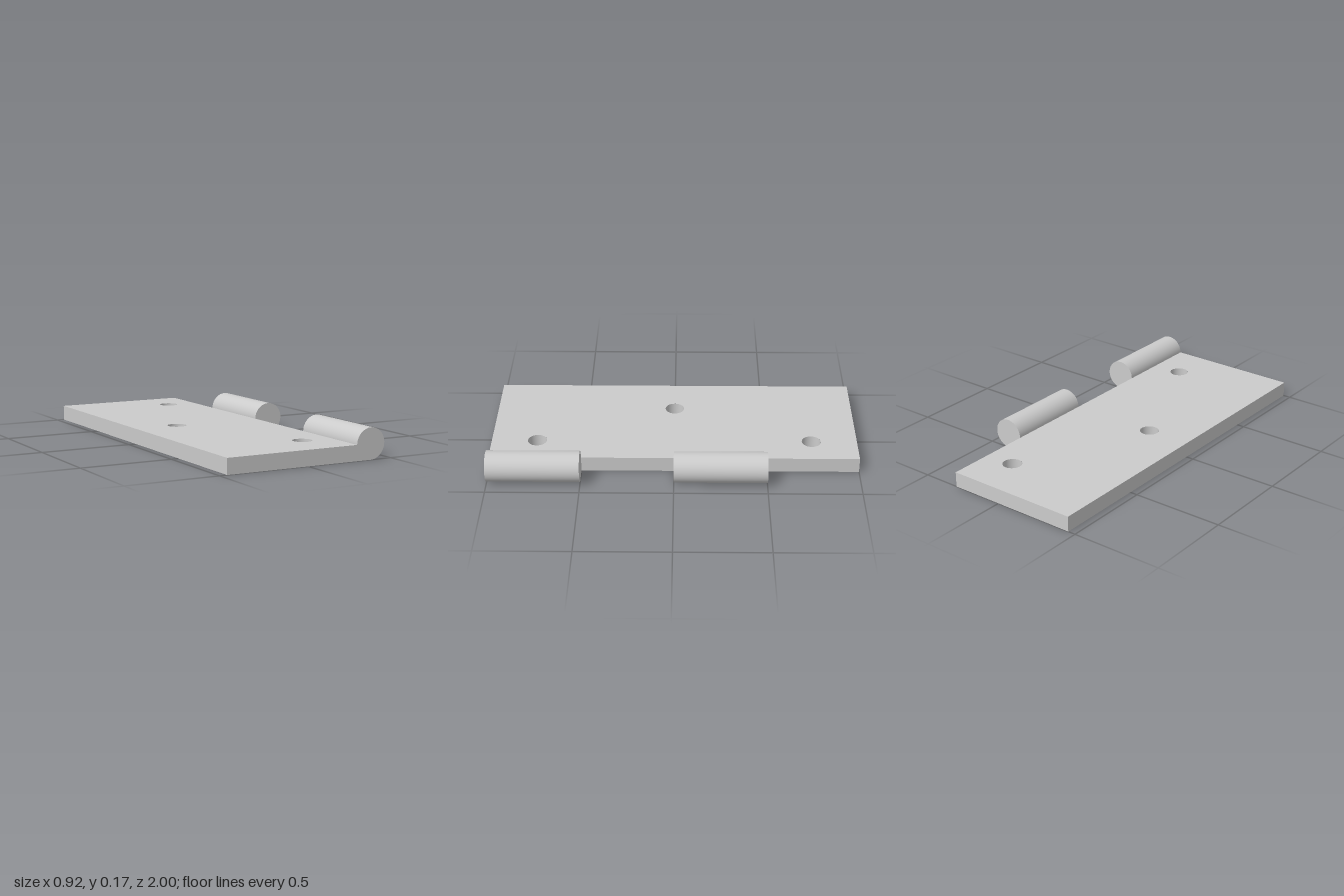
import * as THREE from 'three';

// Hinge leaf: thin shell, open underneath, with two knuckles on its +x edge
const T = 1 / 12;            // plate thickness, also the knuckle radius
const X0 = -0.458, X1 = 0.292;
const CX = X1 + T;           // knuckle axis
const HOLE_R = 0.052;
const HOLES = [[0.125, -0.75], [-0.208, 0], [0.125, 0.75]];
const KNUCKLES = [[-0.5, 0], [0.5, 1]];

export function createModel() {
  const group = new THREE.Group();
  const material = new THREE.MeshStandardMaterial({ color: 0xcccccc, side: THREE.DoubleSide });

  const add = (name, geometry, x, y, z) => {
    const mesh = new THREE.Mesh(geometry, material);
    mesh.name = name;
    mesh.position.set(x, y, z);
    group.add(mesh);
    return mesh;
  };
  // Upright wall; turn is the heading of its outward face
  const wall = (name, width, x, z, turn) => {
    add(name, new THREE.PlaneGeometry(width, T), x, T / 2, z).rotation.y = turn;
  };

  // Top face with screw holes
  const top = new THREE.Shape();
  top.moveTo(X0, -1).lineTo(X1, -1).lineTo(X1, 1).lineTo(X0, 1).closePath();
  for (const [x, z] of HOLES) {
    top.holes.push(new THREE.Path().absarc(x, -z, HOLE_R, 0, Math.PI * 2, true));
  }
  add('plateTop', new THREE.ShapeGeometry(top, 32).rotateX(-Math.PI / 2), 0, T, 0);

  // Screw hole walls
  for (const [x, z] of HOLES) {
    const tube = new THREE.CylinderGeometry(HOLE_R, HOLE_R, T, 48, 1, true);
    add('screwHole', tube, x, T / 2, z);
  }

  // Plate sides; the +x side is left open where the knuckles join
  const midX = (X0 + X1) / 2;
  wall('plateFront', X1 - X0, midX, 1, 0);
  wall('plateBack', X1 - X0, midX, -1, Math.PI);
  wall('plateOuterSide', 2, X0, 0, -Math.PI / 2);
  for (const [z0, z1] of [[-1, -0.5], [0, 0.5]]) {
    wall('plateKnuckleSide', z1 - z0, X1, (z0 + z1) / 2, Math.PI / 2);
  }

  // Knuckle end: three quarters of a disc with a square lower corner
  const end = new THREE.Shape();
  end.moveTo(-T, -T).lineTo(0, -T);
  end.absarc(0, 0, T, -Math.PI / 2, Math.PI, false);
  end.closePath();

  for (const [z0, z1] of KNUCKLES) {
    const barrel = new THREE.CylinderGeometry(T, T, z1 - z0, 64, 1, true, 0, Math.PI * 1.5);
    add('knuckleBarrel', barrel.rotateX(Math.PI / 2), CX, T, (z0 + z1) / 2);
    add('knuckleFrontEnd', new THREE.ShapeGeometry(end, 48), CX, T, z1);

    // Back end: same outline with the winding reversed to face -z
    const back = new THREE.ShapeGeometry(end, 48);
    back.index.array.reverse();
    const normals = back.attributes.normal;
    for (let i = 0; i < normals.count; i++) normals.setZ(i, -1);
    add('knuckleBackEnd', back, CX, T, z0);
  }

  return group;
}
